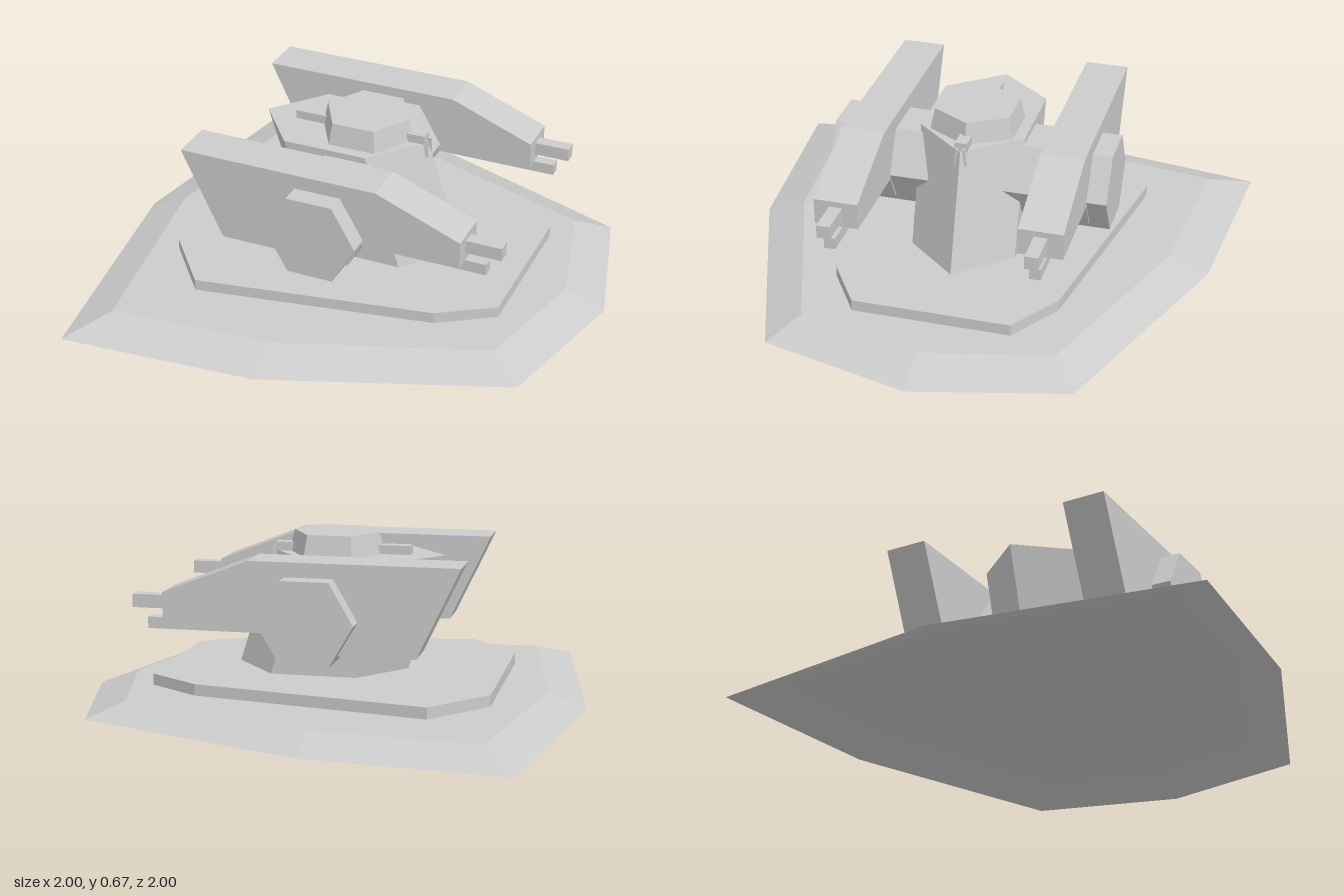
import * as THREE from 'three';

const mat = new THREE.MeshStandardMaterial({ color: 0xcccccc, flatShading: true });
const shellMat = new THREE.MeshStandardMaterial({ color: 0xcccccc, flatShading: true, side: THREE.DoubleSide });

// Full outline from one half, listed as [x, z] from the +x end to the -x end
function mirrorOutline(half) {
  const far = half.map(([x, z]) => [x, -z]);
  const near = half.filter(([, z]) => z > 0).reverse();
  return [...far, ...near];
}

// Solid between two matching outlines at heights y0 and y1; the bottom can stay open
function loft(bottomHalf, topHalf, y0, y1, closed = true) {
  const lo = mirrorOutline(bottomHalf).map(([x, z]) => [x, y0, z]);
  const hi = mirrorOutline(topHalf).map(([x, z]) => [x, y1, z]);
  const n = lo.length;
  const pos = [];
  const tri = (a, b, c) => pos.push(...a, ...b, ...c);
  for (let i = 0; i < n; i++) {
    const j = (i + 1) % n;
    tri(lo[i], lo[j], hi[j]);
    tri(lo[i], hi[j], hi[i]);
    if (i > 0 && j > 0) {
      tri(hi[0], hi[i], hi[j]);
      if (closed) tri(lo[0], lo[j], lo[i]);
    }
  }
  const g = new THREE.BufferGeometry();
  g.setAttribute('position', new THREE.Float32BufferAttribute(pos, 3));
  g.computeVertexNormals();
  return g;
}

// Side profile in x and y, extruded along z from z0
function sideExtrude(points, z0, depth) {
  const shape = new THREE.Shape(points.map(([x, y]) => new THREE.Vector2(x, y)));
  return new THREE.ExtrudeGeometry(shape, { depth, bevelEnabled: false }).translate(0, 0, z0);
}

// Box given by its limits on each axis
function boxBetween(x0, x1, y0, y1, z0, z1) {
  return new THREE.BoxGeometry(x1 - x0, y1 - y0, z1 - z0)
    .translate((x0 + x1) / 2, (y0 + y1) / 2, (z0 + z1) / 2);
}

export function createModel() {
  const model = new THREE.Group();
  model.name = 'gunTurret';
  const add = (name, geometry, material = mat) => {
    const mesh = new THREE.Mesh(geometry, material);
    mesh.name = name;
    model.add(mesh);
    return mesh;
  };

  // Hollow ground plate with sloping rim
  add('groundPlate', loft(
    [[1, 0], [0.85, 0.595], [-0.06, 0.935], [-0.84, 1], [-1, 0]],
    [[0.84, 0], [0.72, 0.495], [-0.06, 0.775], [-0.71, 0.83], [-0.85, 0]],
    0, 0.06, false), shellMat);

  // Raised turning platform
  const platform = [[0.67, 0.31], [0.46, 0.445], [-0.47, 0.605], [-0.67, 0.37]];
  add('platform', loft(platform, platform, 0.08, 0.125));

  // Hexagonal tower leaning backwards
  const foot = [[0.42, 0], [0.24, 0.21], [-0.1, 0.21], [-0.27, 0]];
  const lean = foot.map(([x, z]) => [x - 0.165, z]);
  add('tower', loft(foot, lean, 0.06, 0.585));

  // Hexagonal cupola
  add('cupola', new THREE.CylinderGeometry(0.172, 0.192, 0.087, 6)
    .rotateY(Math.PI / 2).translate(0, 0.6265, 0));

  // Small sensors before and behind the cupola
  add('rearSensor', boxBetween(-0.3, -0.15, 0.58, 0.62, -0.024, 0.024));
  add('frontSensor', boxBetween(0.15, 0.245, 0.585, 0.62, -0.024, 0.024));
  for (const s of [-1, 1]) {
    const strut = add('sensorStrut', new THREE.BoxGeometry(0.02, 0.07, 0.008));
    strut.position.set(0.25, 0.565, s * 0.017);
    strut.rotation.x = -s * 0.12;
  }

  // Hexagonal axle carrying both gun pods
  add('axle', new THREE.CylinderGeometry(0.185, 0.185, 1.116, 6)
    .rotateX(Math.PI / 2).rotateZ(Math.PI / 2).translate(0, 0.4, 0));

  // Gun pods with two barrels each
  const pod = [[-0.57, 0.617], [-0.405, 0.27], [0.12, 0.27], [0.18, 0.38],
    [0.57, 0.38], [0.57, 0.485], [0.235, 0.617]];
  for (const s of [-1, 1]) {
    const side = s > 0 ? 'right' : 'left';
    const zc = s * 0.394;
    add(side + 'GunPod', sideExtrude(pod, zc - 0.086, 0.172));
    add(side + 'UpperBarrel', boxBetween(0.5, 0.71, 0.41, 0.462, zc - 0.026, zc + 0.026));
    add(side + 'LowerBarrel', boxBetween(0.1, 0.65, 0.33, 0.375, zc - 0.022, zc + 0.022));
  }

  return model;
}
